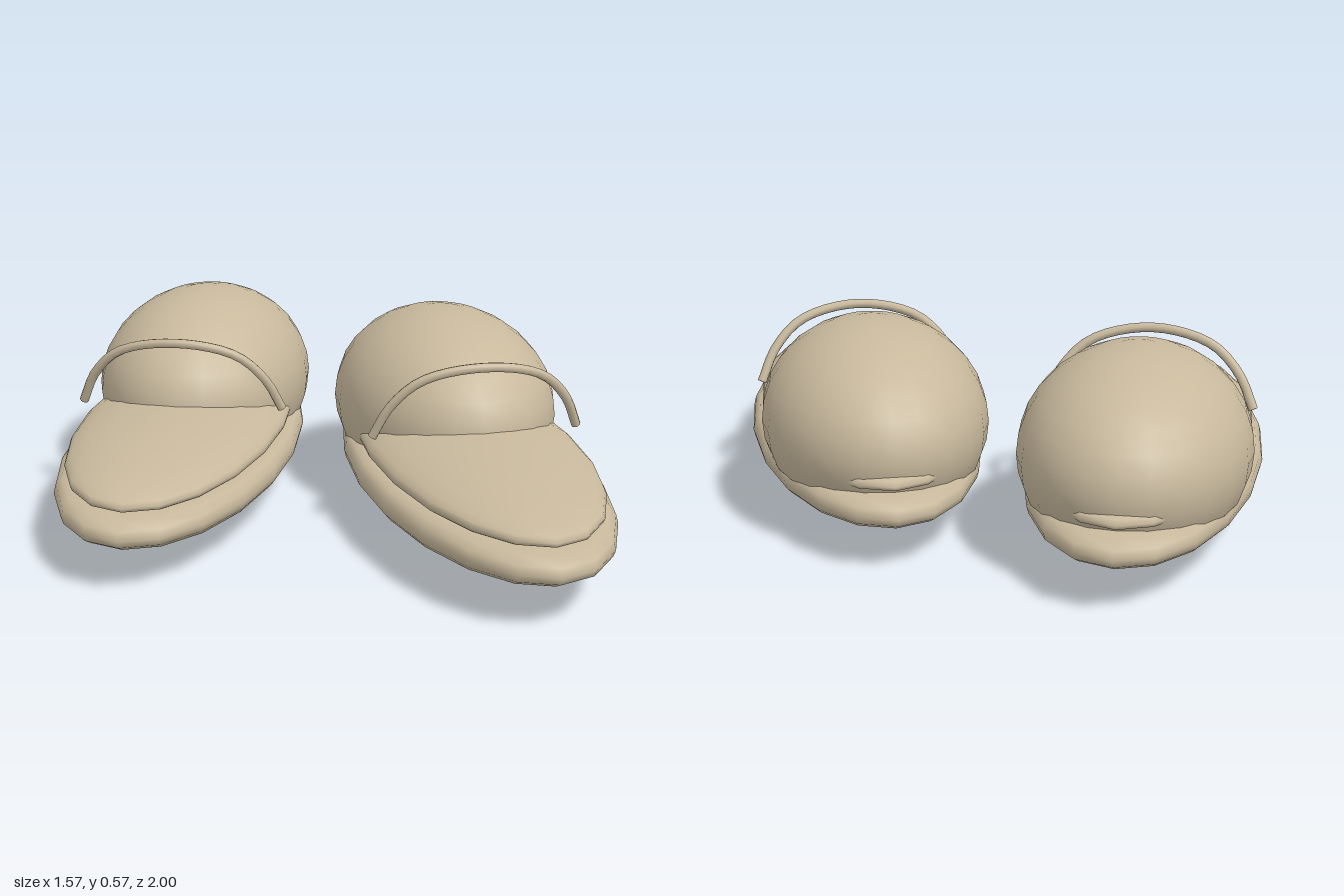
import * as THREE from 'three';

const tan = new THREE.MeshStandardMaterial({ color: 0xc8b99d, side: THREE.DoubleSide });
tan.name = 'tan';

const TILT = 0.171; // toes turned outwards

function part(name, geometry) {
  const mesh = new THREE.Mesh(geometry, tan);
  mesh.name = name;
  return mesh;
}

// Oval pad: a turned profile (radius as a fraction, height) stretched to an ellipse
function ovalPad(profile, halfWidth, halfLength) {
  const points = profile.map(([r, y]) => new THREE.Vector2(r, y));
  return new THREE.LatheGeometry(points, 20).scale(halfWidth, 1, halfLength);
}

function createSlipper(name, side, z) {
  const slipper = new THREE.Group();
  slipper.name = name;

  // Sole with a rounded rim and a bulging underside
  slipper.add(part('sole', ovalPad([
    [0, 0.068], [0.3, 0.072], [0.6, 0.086], [0.84, 0.108], [0.94, 0.123],
    [0.985, 0.142], [1, 0.163], [0.985, 0.186], [0.94, 0.204], [0.86, 0.21], [0, 0.21],
  ], 0.338, 0.866)));

  // Slightly smaller domed insole
  slipper.add(part('insole', ovalPad([
    [0, 0.21], [0.88, 0.21], [0.95, 0.215], [0.99, 0.226], [1, 0.238], [0.985, 0.25],
    [0.94, 0.263], [0.82, 0.284], [0.6, 0.305], [0.3, 0.319], [0, 0.324],
  ], 0.307, 0.815)));

  // Large egg-shaped heel
  const heel = part('heel', new THREE.SphereGeometry(1, 24, 16).scale(0.325, 0.285, 0.469));
  heel.position.set(0, 0.291, -0.32);
  slipper.add(heel);

  // Arched strap leaning forwards
  const half = [[0.305, 0.3, 0.04], [0.26, 0.395, 0.07], [0.175, 0.475, 0.1]];
  const path = new THREE.CatmullRomCurve3([
    ...half.map(([x, y, d]) => new THREE.Vector3(-x, y, d)),
    new THREE.Vector3(0, 0.511, 0.125),
    ...half.reverse().map(([x, y, d]) => new THREE.Vector3(x, y, d)),
  ]);
  slipper.add(part('strap', new THREE.TubeGeometry(path, 24, 0.014, 8)));

  // Flat ends of the strap
  for (const t of [0, 1]) {
    const cap = part('strapEnd', new THREE.CircleGeometry(0.014, 8));
    const outward = path.getTangentAt(t).multiplyScalar(t ? 1 : -1);
    cap.position.copy(path.getPointAt(t));
    cap.quaternion.setFromUnitVectors(new THREE.Vector3(0, 0, 1), outward);
    slipper.add(cap);
  }

  slipper.position.set(side * 0.422, 0, z);
  slipper.rotation.y = side * TILT;
  return slipper;
}

export function createModel() {
  const model = new THREE.Group();
  model.name = 'slippers';
  model.add(createSlipper('leftSlipper', 1, 0.145));
  model.add(createSlipper('rightSlipper', -1, -0.145));
  return model;
}
